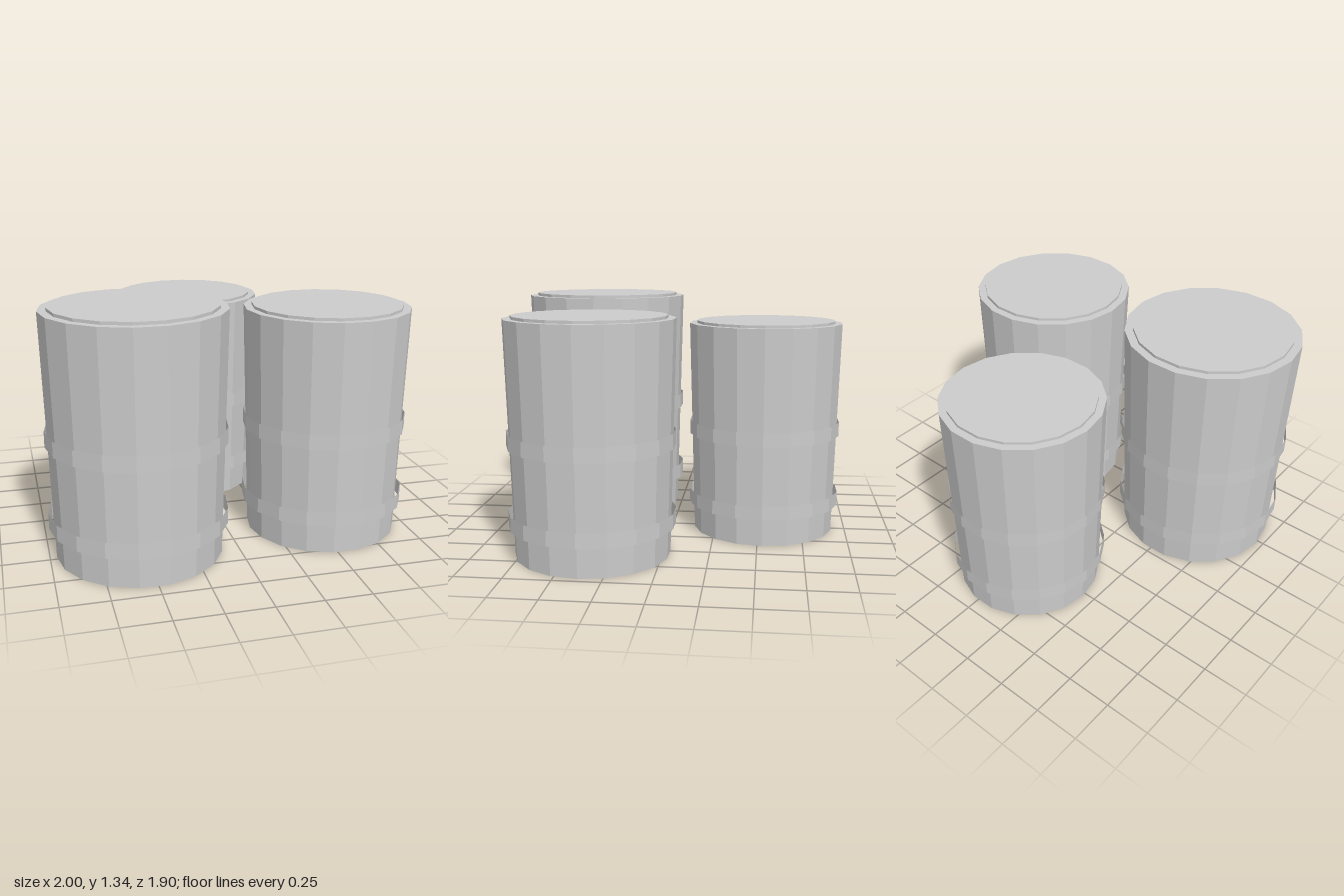
import * as THREE from 'three';

const SIDES = 18;

export function createModel() {
  const metal = new THREE.MeshStandardMaterial({ color: 0xcccccc });
  metal.name = 'greyMetal';
  metal.flatShading = true;
  metal.side = THREE.DoubleSide;

  // Tapered faceted cylinder standing between two heights
  function ring(name, rTop, rBottom, y0, y1, open = false) {
    const geo = new THREE.CylinderGeometry(rTop, rBottom, y1 - y0, SIDES, 1, open);
    geo.rotateY(Math.PI / 2);
    geo.translate(0, (y0 + y1) / 2, 0);
    const mesh = new THREE.Mesh(geo, metal);
    mesh.name = name;
    return mesh;
  }

  function barrel(name, x, z, radius, height) {
    const group = new THREE.Group();
    group.name = name;
    const rim = height * 0.988;
    group.add(ring('body', radius, radius * 0.925, 0, rim));
    group.add(ring('lid', radius * 0.905, radius * 0.905, rim - 0.01, height));
    // Open hoops standing slightly off the body
    group.add(ring('lowerHoop', radius * 0.993, radius * 0.993, height * 0.127, height * 0.191, true));
    group.add(ring('upperHoop', radius * 0.993, radius * 0.993, height * 0.463, height * 0.527, true));
    group.position.set(x, 0, z);
    return group;
  }

  const model = new THREE.Group();
  model.name = 'barrelGroup';
  model.add(barrel('tallBarrel', -0.519, 0.475, 0.481, 1.34));
  model.add(barrel('middleBarrel', 0.549, 0.376, 0.451, 1.275));
  model.add(barrel('shortBarrel', -0.034, -0.525, 0.433, 1.21));
  return model;
}
